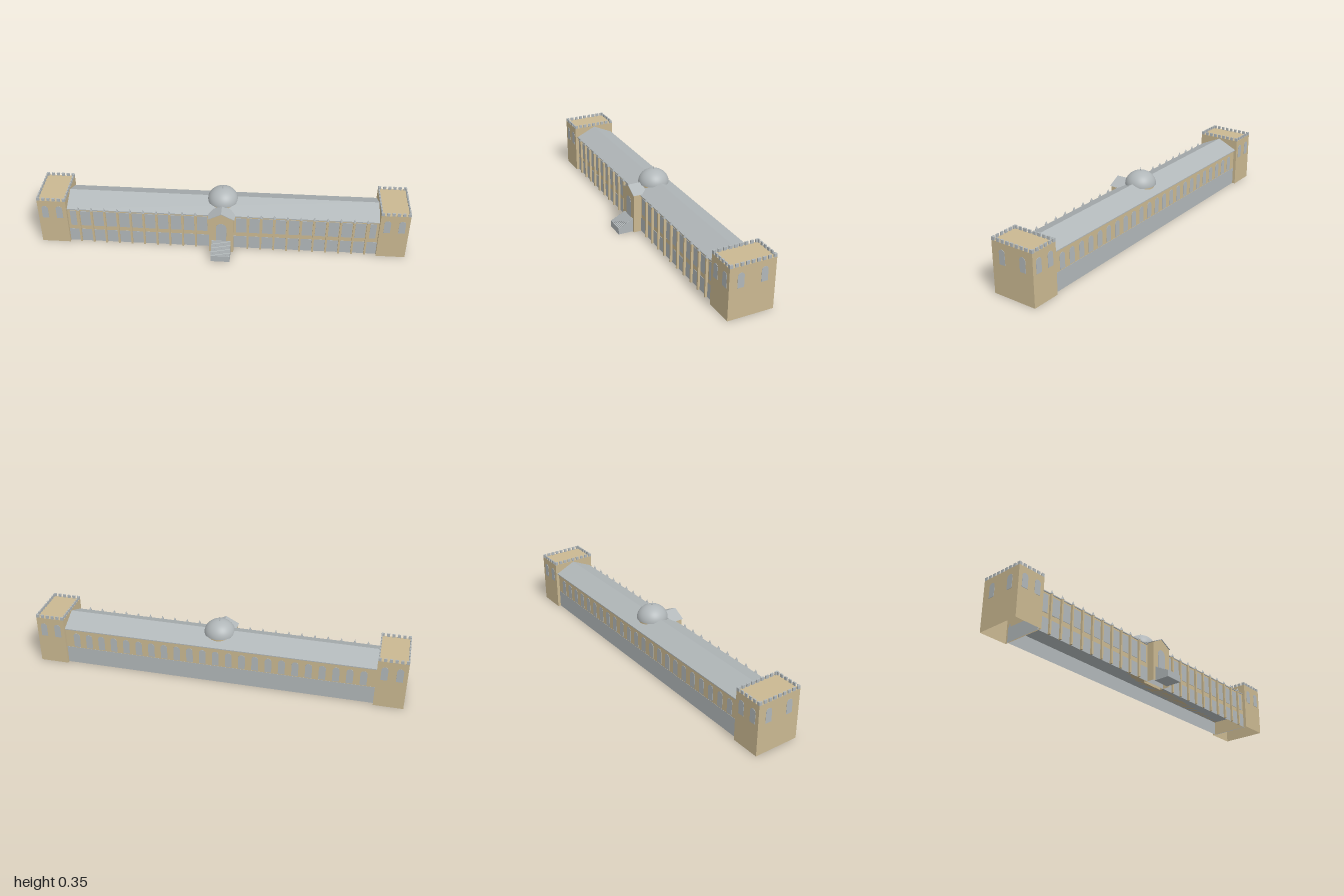
import * as THREE from 'three';

export function createModel() {
  const model = new THREE.Group();
  const mat = (name, color) => {
    const m = new THREE.MeshStandardMaterial({ color, side: THREE.DoubleSide });
    m.name = name;
    return m;
  };
  const sand = mat('sandstone', 0xcab891);
  const grey = mat('grey stone', 0xb1b7b9);

  const add = (parent, name, geo, material, x = 0, y = 0, z = 0) => {
    const mesh = new THREE.Mesh(geo, material);
    mesh.name = name;
    mesh.position.set(x, y, z);
    parent.add(mesh);
    return mesh;
  };
  const group = (name, parent = model) => {
    const g = new THREE.Group();
    g.name = name;
    parent.add(g);
    return g;
  };
  // Box given by its limits
  const block = (parent, name, m, x0, x1, y0, y1, z0, z1) =>
    add(parent, name, new THREE.BoxGeometry(x1 - x0, y1 - y0, z1 - z0), m,
      (x0 + x1) / 2, (y0 + y1) / 2, (z0 + z1) / 2);
  // Hollow box without its bottom face
  const shell = (...args) => {
    const mesh = block(...args);
    const idx = Array.from(mesh.geometry.index.array);
    idx.splice(18, 6);
    mesh.geometry.setIndex(idx);
    mesh.geometry.clearGroups();
    return mesh;
  };
  // Outline of [z, y] points swept along x, centred
  const sweepX = (pts, width) => {
    const shape = new THREE.Shape(pts.map(([z, y]) => new THREE.Vector2(-z, y)));
    return new THREE.ExtrudeGeometry(shape, { depth: width, bevelEnabled: false })
      .translate(0, 0, -width / 2).rotateY(Math.PI / 2);
  };
  // Outline of [x, y] points swept along z from z0 to z1
  const sweepZ = (pts, z0, z1) =>
    new THREE.ExtrudeGeometry(new THREE.Shape(pts.map(p => new THREE.Vector2(...p))),
      { depth: z1 - z0, bevelEnabled: false }).translate(0, 0, z0);
  // Thin round-headed window plate facing +z, standing on its origin
  const archPlate = (w, h) => {
    const s = new THREE.Shape();
    s.moveTo(-w / 2, 0);
    s.lineTo(w / 2, 0);
    s.lineTo(w / 2, h - w / 2);
    s.absarc(0, h - w / 2, w / 2, 0, Math.PI, false);
    s.closePath();
    return new THREE.ExtrudeGeometry(s, { depth: 0.0015, bevelEnabled: false, curveSegments: 10 });
  };

  // Long hall: open plinth with raised floor, walls and gabled roof
  const BAY = 0.0711, FRONT = 0.052, BACK = -0.16, RIDGE = -0.056;
  const hall = group('hall');
  shell(hall, 'plinth', grey, -0.85, 0.85, 0, 0.08, BACK, FRONT);
  block(hall, 'backPlinthBand', grey, -0.845, 0.845, 0.08, 0.1, BACK, BACK + 0.01);
  add(hall, 'upperWalls', sweepX([[FRONT - 0.001, 0.08], [FRONT - 0.001, 0.214], [RIDGE, 0.262],
    [BACK + 0.001, 0.214], [BACK + 0.001, 0.08]], 1.69), sand);
  add(hall, 'roof', sweepX([[0.057, 0.213], [0.057, 0.218], [RIDGE, 0.27], [-0.168, 0.218],
    [-0.168, 0.213], [RIDGE, 0.264]], 1.69), grey);

  // Front bays, buttresses with pinnacles, rear arched windows
  const bays = group('frontBays', hall);
  const buttresses = group('buttresses', hall);
  for (const side of [-1, 1]) {
    for (let k = 1; k <= 11; k++) {
      const w = k === 11 ? 0.034 : 0.056;
      const c = side * (k === 11 ? 0.814 : (k + 0.5) * BAY);
      block(bays, 'windowPanel', grey, c - w / 2, c + w / 2, 0.106, 0.203, FRONT - 0.001, FRONT + 0.001);
      if (k === 1) continue;
      const x = side * k * BAY;
      block(buttresses, 'buttress', sand, x - 0.005, x + 0.005, 0, 0.215, FRONT - 0.002, 0.064);
      add(buttresses, 'pinnacle', new THREE.ConeGeometry(0.009, 0.022, 4).rotateY(Math.PI / 4),
        grey, x, 0.225, 0.059);
    }
  }
  const rear = group('rearWindows', hall);
  const rearArch = archPlate(0.036, 0.085);
  for (let k = -11; k <= 11; k++) {
    add(rear, 'archedWindow', rearArch, grey, k * BAY, 0.105, BACK + 0.001).rotation.y = Math.PI;
  }

  // Corner towers with battlements and paired windows
  const towerArch = archPlate(0.035, 0.078);
  const TX = 0.922, TZ = -0.0535, HX = 0.078, HZ = 0.1235, TOP = 0.275;
  for (const side of [-1, 1]) {
    const tower = group(side < 0 ? 'rightTower' : 'leftTower');
    tower.position.set(side * TX, 0, TZ);
    shell(tower, 'towerWalls', sand, -HX, HX, 0, TOP, -HZ, HZ);
    for (const s of [-1, 1]) {
      const turn = s < 0 ? Math.PI : 0;
      for (const o of [-1, 1]) {
        add(tower, 'towerWindow', towerArch, grey, o * 0.039, 0.164, s * HZ).rotation.y = turn;
      }
      if (s === side) {
        for (const z of [-0.063, 0.0625]) {
          add(tower, 'towerWindow', towerArch, grey, s * HX, 0.164, z).rotation.y = s * Math.PI / 2;
        }
      }
      // Merlons along the two pairs of edges
      const merlons = group('merlons', tower);
      for (let i = 0; i < 6; i++) {
        const x = -HX + 0.008 + i * (2 * HX - 0.016) / 5;
        add(merlons, 'merlon', new THREE.BoxGeometry(0.016, 0.018, 0.007), grey,
          x, TOP + 0.008, s * (HZ - 0.0035));
      }
      for (let i = 0; i < 9; i++) {
        const z = -HZ + 0.0085 + i * (2 * HZ - 0.017) / 8;
        add(merlons, 'merlon', new THREE.BoxGeometry(0.007, 0.018, 0.017), grey,
          s * (HX - 0.0035), TOP + 0.008, z);
      }
    }
  }

  // Entrance porch with gable, door and stepped approach
  const porch = group('porch');
  shell(porch, 'porchWalls', sand, -0.066, 0.066, 0, 0.222, 0.03, 0.095);
  add(porch, 'porchGable', sweepZ([[-0.066, 0.221], [0.066, 0.221], [0, 0.256]], 0.03, 0.095), sand);
  add(porch, 'porchRoof', sweepZ([[-0.072, 0.222], [-0.066, 0.222], [0, 0.256], [0.066, 0.222],
    [0.072, 0.222], [0, 0.26]], 0.02, 0.099), grey);
  add(porch, 'door', archPlate(0.056, 0.115), grey, 0, 0.077, 0.0945);
  const steps = 12, stair = [[0.09, 0], [0.18, 0]];
  for (let i = 0; i < steps; i++) {
    const y = 0.037 + i * 0.04 / (steps - 1);
    stair.push([0.18 - i * 0.085 / steps, y], [0.18 - (i + 1) * 0.085 / steps, y]);
  }
  stair.push([0.09, 0.077]);
  add(porch, 'steps', sweepX(stair, 0.104), grey);

  // Dome on a round drum, with finial
  const dome = group('dome');
  dome.position.z = TZ;
  add(dome, 'drum', new THREE.CylinderGeometry(0.075, 0.075, 0.04, 32), sand, 0, 0.231, 0);
  add(dome, 'domeCap', new THREE.SphereGeometry(0.083, 40, 16, 0, Math.PI * 2, 0, Math.PI / 2)
    .scale(1, 0.88, 1), grey, 0, 0.25, 0);
  add(dome, 'domeSoffit', new THREE.RingGeometry(0.07, 0.083, 40).rotateX(Math.PI / 2), grey, 0, 0.25, 0);
  add(dome, 'finial', new THREE.ConeGeometry(0.004, 0.026, 10), grey, 0, 0.333, 0);

  return model;
}
